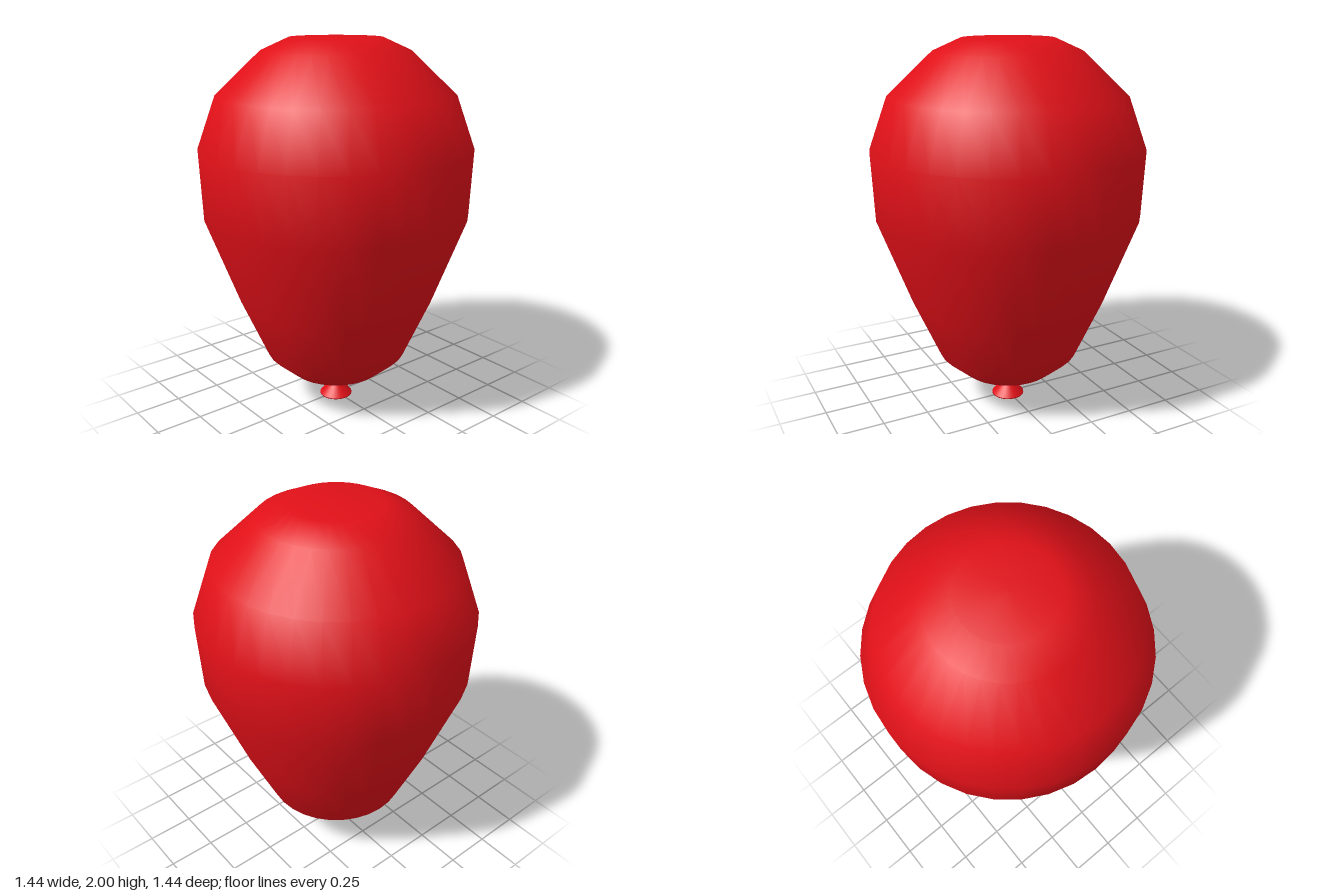
import * as THREE from 'three';

const SEGMENTS = 32;
const red = new THREE.MeshStandardMaterial({ color: 0xe01018 });

// Turned part from [radius, height] pairs, listed bottom to top
function turned(name, profile) {
  const points = profile.map(([r, y]) => new THREE.Vector2(r, y));
  const mesh = new THREE.Mesh(new THREE.LatheGeometry(points, SEGMENTS), red);
  mesh.name = name;
  return mesh;
}

export function createModel() {
  const balloon = new THREE.Group();
  balloon.name = 'balloon';

  // Inflated body, widest near the top and tapering down to the neck
  balloon.add(turned('body', [
    [0.04, 0.12], [0.26, 0.18], [0.385, 0.29], [0.53, 0.62], [0.705, 1.09],
    [0.72, 1.44], [0.62, 1.715], [0.385, 1.935], [0.24, 2], [0, 2],
  ]));

  // Pinched neck under the body
  balloon.add(turned('neck', [[0.018, 0.08], [0.04, 0.125]]));

  // Flared lip below the knot, with a flat underside
  balloon.add(turned('lip', [[0.09, 0.005], [0.018, 0.085]]));
  balloon.add(turned('lipBase', [[0, 0], [0.09, 0], [0.09, 0.005]]));

  return balloon;
}
